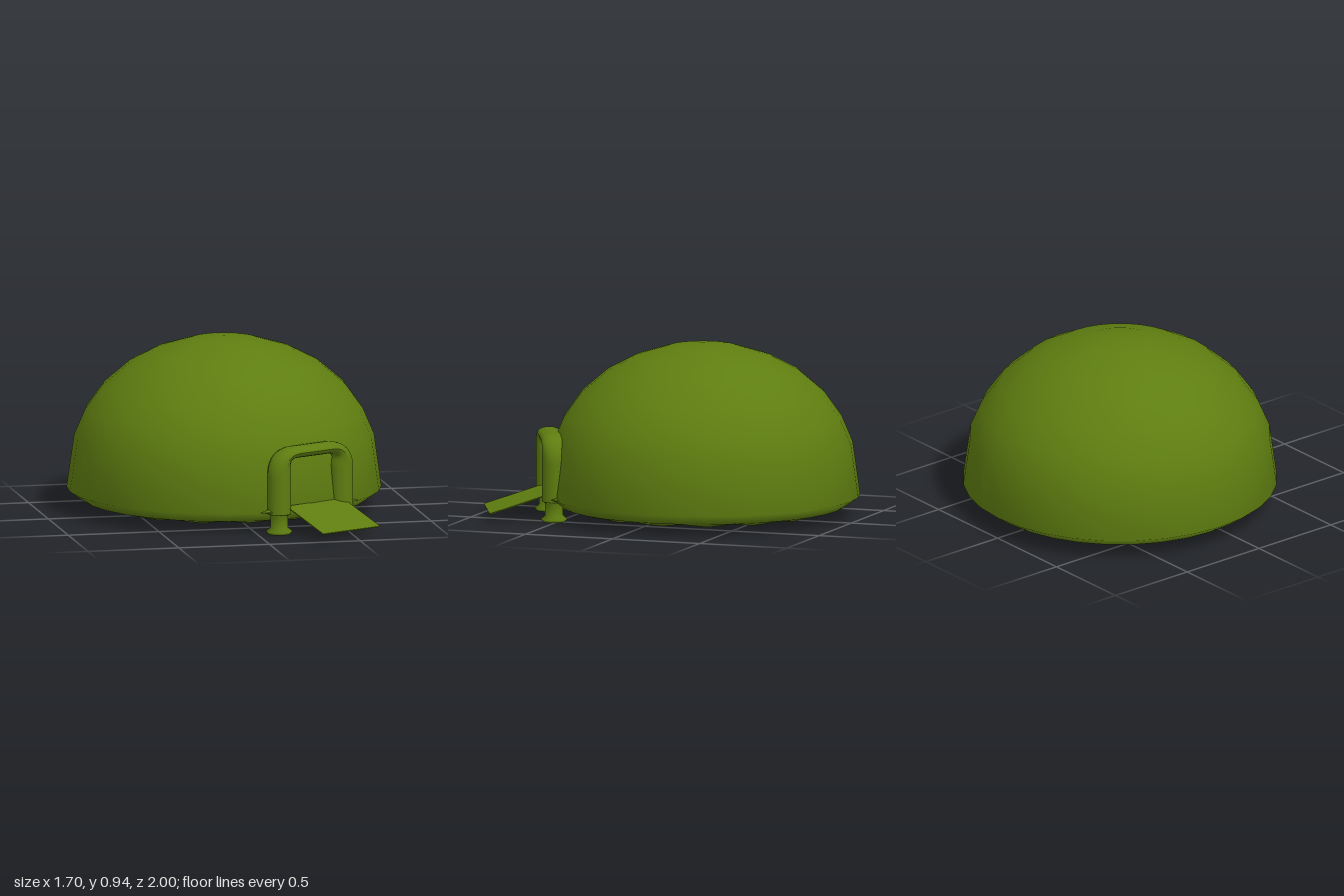
import * as THREE from 'three';
import { mergeVertices } from 'three/addons/utils/BufferGeometryUtils.js';

const olive = new THREE.MeshStandardMaterial({ color: 0x5e7d10 });
const SEGMENTS = 32;

function add(parent, name, geometry, x = 0, y = 0, z = 0) {
  const mesh = new THREE.Mesh(geometry, olive);
  mesh.name = name;
  mesh.position.set(x, y, z);
  parent.add(mesh);
  return mesh;
}

// Dome shell with a hem that tucks under, scalloped at its inner edge
function domeGeometry() {
  const profile = [
    [0, 0.05], [0.66, 0.03], [0.77, 0.06], [0.848, 0.115], [0.808, 0.4], [0.748, 0.54],
    [0.655, 0.67], [0.515, 0.79], [0.37, 0.865], [0.18, 0.923], [0, 0.938],
  ].map(([r, y]) => new THREE.Vector2(r, y));
  let geometry = new THREE.LatheGeometry(profile, SEGMENTS);
  const p = geometry.attributes.position;
  for (let i = 0; i <= SEGMENTS; i++) {
    if (i % 2 === 0) continue;
    const k = i * profile.length + 1;
    p.setXYZ(k, p.getX(k) * 1.07, 0.05, p.getZ(k) * 1.07);
  }
  geometry.deleteAttribute('uv');
  geometry.deleteAttribute('normal');
  geometry = mergeVertices(geometry, 1e-4);
  geometry.computeVertexNormals();
  return geometry;
}

// Rounded door frame: full round posts that flatten across the top
function archGeometry() {
  const half = 0.21, top = 0.437, corner = 0.1, steps = 60, sides = 16;
  const v = (x, y) => new THREE.Vector3(x, y, 0);
  const path = new THREE.CurvePath();
  path.add(new THREE.LineCurve3(v(-half, 0.11), v(-half, top - corner)));
  path.add(new THREE.QuadraticBezierCurve3(v(-half, top - corner), v(-half, top), v(corner - half, top)));
  path.add(new THREE.LineCurve3(v(corner - half, top), v(half - corner, top)));
  path.add(new THREE.QuadraticBezierCurve3(v(half - corner, top), v(half, top), v(half, top - corner)));
  path.add(new THREE.LineCurve3(v(half, top - corner), v(half, 0.11)));
  const geometry = new THREE.TubeGeometry(path, steps, 0.064, sides);
  const p = geometry.attributes.position;
  for (let i = 0; i <= steps; i++) {
    const c = path.getPointAt(i / steps);
    const s = 1 - 0.5 * Math.abs(path.getTangentAt(i / steps).x);
    for (let j = 0; j <= sides; j++) {
      const k = i * (sides + 1) + j;
      p.setXY(k, c.x + (p.getX(k) - c.x) * s, c.y + (p.getY(k) - c.y) * s);
    }
  }
  geometry.computeVertexNormals();
  return geometry;
}

export function createModel() {
  const model = new THREE.Group();
  model.name = 'domeShelter';

  add(model, 'dome', domeGeometry(), 0, 0, -0.147);

  // Doorway set at an angle on the front left of the dome
  const door = new THREE.Group();
  door.name = 'doorway';
  door.position.set(0.31, 0, 0.61);
  door.rotation.y = THREE.MathUtils.degToRad(25);
  model.add(door);

  add(door, 'doorFrame', archGeometry());

  // Flared feet and small side flanges under each post
  const foot = new THREE.LatheGeometry(
    [[0, 0], [0.06, 0], [0.072, 0.015], [0.048, 0.035], [0.048, 0.1], [0.064, 0.112], [0, 0.112]]
      .map(([r, y]) => new THREE.Vector2(r, y)), 16);
  for (const side of [-1, 1]) {
    add(door, 'foot', foot, side * 0.21, 0, 0);
    const flange = add(door, 'flange', new THREE.ConeGeometry(0.05, 0.1, 4), side * 0.285, 0.125, -0.01);
    flange.rotation.z = -side * Math.PI / 2;
    flange.scale.x = 0.4;
  }

  // Thin ramp sloping from the sill to the ground
  const start = new THREE.Vector2(0.02, 0.148), end = new THREE.Vector2(0.347, 0.043);
  const ramp = add(door, 'ramp', new THREE.BoxGeometry(0.385, 0.006, start.distanceTo(end)),
    0.015, (start.y + end.y) / 2, (start.x + end.x) / 2);
  ramp.rotation.x = Math.atan2(start.y - end.y, end.x - start.x);

  return model;
}
